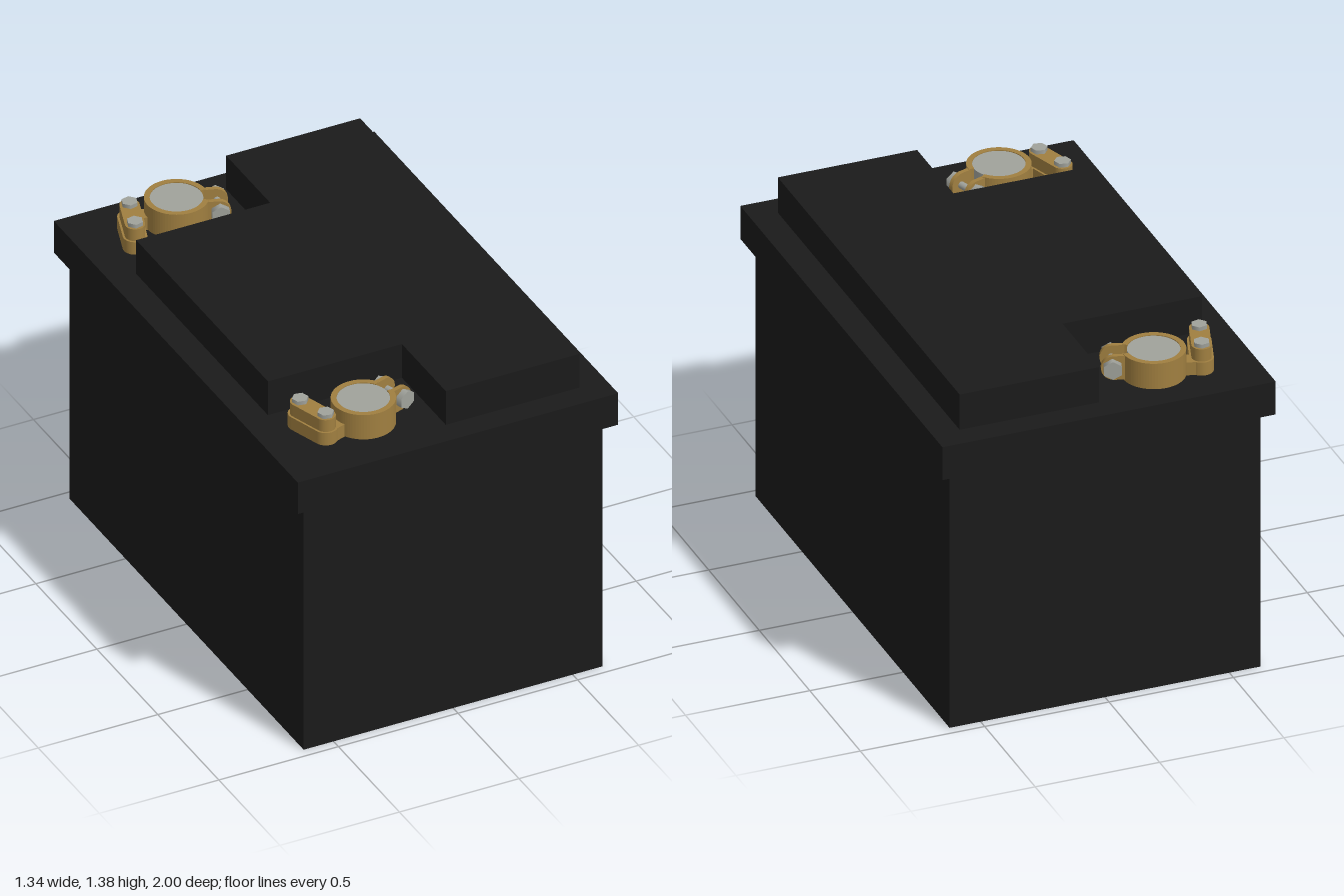
import * as THREE from 'three';

const black = new THREE.MeshStandardMaterial({ color: 0x1a1a1a });
const brass = new THREE.MeshStandardMaterial({ color: 0xa07f40 });
const steel = new THREE.MeshStandardMaterial({ color: 0xa0a29b });

function add(parent, name, geometry, material, x = 0, y = 0, z = 0) {
  const mesh = new THREE.Mesh(geometry, material);
  mesh.name = name;
  mesh.position.set(x, y, z);
  parent.add(mesh);
  return mesh;
}

// Plan outline pulled upward
function raise(shape, height) {
  return new THREE.ExtrudeGeometry(shape, { depth: height, bevelEnabled: false, curveSegments: 32 })
    .rotateX(-Math.PI / 2);
}

// Slot outline along the plan's depth, half-length h, end radius r
function slot(h, r) {
  const s = new THREE.Shape();
  s.absarc(0, h, r, 0, Math.PI, false);
  s.absarc(0, -h, r, Math.PI, Math.PI * 2, false);
  s.closePath();
  return s;
}

function hex(radius, height) {
  return new THREE.CylinderGeometry(radius, radius, height, 6).toNonIndexed();
}

// Post with its clamp; side = 1 puts the cable lug towards +z
function terminal(name, x, z, side) {
  const g = new THREE.Group();
  g.name = name;
  g.position.set(x, 1.225, z);
  g.rotation.y = -side * 0.32;

  add(g, 'post', new THREE.CylinderGeometry(0.1, 0.1, 0.112, 48), steel, 0, 0.056, 0);

  // Split ring, open towards the pinch bolt
  const gap = 0.3;
  const c = new THREE.Shape();
  c.absarc(0, 0, 0.122, gap, Math.PI * 2 - gap, false);
  c.absarc(0, 0, 0.1, Math.PI * 2 - gap, gap, true);
  c.closePath();
  add(g, 'clampRing', raise(c, 0.108), brass, 0, 0.007, 0);

  // Round-ended ears and the pinch bolt through them
  const ear = new THREE.Shape();
  ear.moveTo(0.1, -0.05);
  ear.lineTo(0.15, -0.05);
  ear.absarc(0.15, 0, 0.05, -Math.PI / 2, Math.PI / 2, false);
  ear.lineTo(0.1, 0.05);
  ear.closePath();
  for (const s of [-1, 1]) {
    const earGeo = new THREE.ExtrudeGeometry(ear, { depth: 0.018, bevelEnabled: false, curveSegments: 16 });
    add(g, 'clampEar', earGeo, brass, 0, 0.063, s * 0.042 - 0.009);
    add(g, 'pinchBoltHead', hex(0.038, 0.026).rotateX(Math.PI / 2), steel, 0.157, 0.065, s * 0.064);
  }
  add(g, 'pinchBoltShank', new THREE.CylinderGeometry(0.014, 0.014, 0.12, 16).rotateX(Math.PI / 2),
    steel, 0.157, 0.065, 0);

  // Cable lug: base, bridge to the ring, clamping bar and two bolts
  const v = side * 0.087;
  add(g, 'lugBase', raise(slot(0.067, 0.046), 0.055), brass, -0.18, 0.005, v);
  add(g, 'lugBridge', new THREE.BoxGeometry(0.08, 0.055, 0.06), brass, -0.145, 0.0325, side * 0.01);
  add(g, 'lugBar', raise(slot(0.067, 0.038), 0.052), brass, -0.18, 0.06, v);
  for (const s of [-1, 1]) {
    add(g, 'lugBolt', hex(0.032, 0.016), steel, -0.18, 0.12, v + s * 0.067);
  }
  return g;
}

export function createModel() {
  const model = new THREE.Group();
  model.name = 'battery';

  // Case and overhanging lid
  add(model, 'case', new THREE.BoxGeometry(1.25, 1.085, 1.92), black, 0, 0.5425, 0);
  add(model, 'lidRim', new THREE.BoxGeometry(1.34, 0.14, 2), black, 0, 1.155, 0);

  // Raised cover with both terminal corners cut away
  const outline = [[0.56, -0.9], [0.56, 0.9], [0, 0.9], [0, 0.54], [-0.56, 0.54], [-0.56, -0.54], [0, -0.54], [0, -0.9]];
  const cover = new THREE.Shape(outline.map(([x, y]) => new THREE.Vector2(x, y)));
  add(model, 'raisedCover', raise(cover, 0.15), black, 0, 1.225, 0);

  model.add(terminal('frontTerminal', -0.268, 0.75, -1));
  model.add(terminal('backTerminal', -0.268, -0.782, 1));
  return model;
}
